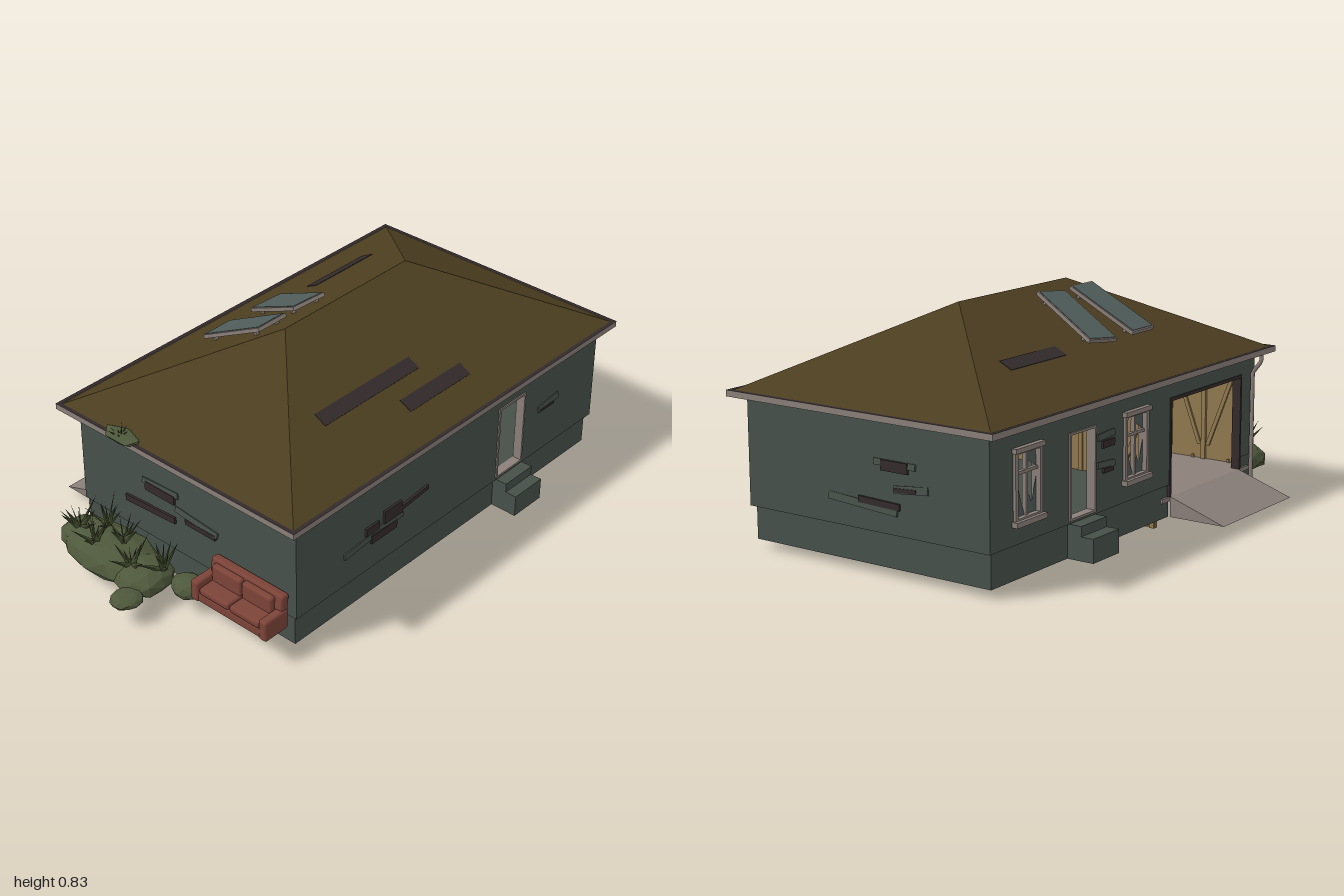
import * as THREE from 'three';
import { RoundedBoxGeometry } from 'three/addons/geometries/RoundedBoxGeometry.js';

const mat = (name, color, side = THREE.FrontSide) => {
  const m = new THREE.MeshStandardMaterial({ color, side });
  m.name = name;
  return m;
};

export function createModel() {
  const house = new THREE.Group();
  house.name = 'house';
  const M = {
    wall: mat('weathered green siding', 0x465049),
    roof: mat('olive brown roof', 0x4c3e20),
    trim: mat('grey trim', 0x8a7f79),
    wood: mat('bare wood', 0x92794f),
    dark: mat('dark timber', 0x342b2b),
    sofa: mat('faded red', 0x7c4338),
    leaf: mat('foliage', 0x465031, THREE.DoubleSide),
    rock: mat('mossy stone', 0x4e583b),
    glass: mat('dusty glass', 0x505d5a, THREE.DoubleSide),
    patch: mat('rotten floor', 0x5a4032),
  };
  let seed = 7;
  const rnd = () => (seed = (seed * 16807) % 2147483647) / 2147483647;
  const add = (geo, m, name, parent = house) => {
    const mesh = new THREE.Mesh(geo, m);
    mesh.name = name;
    parent.add(mesh);
    return mesh;
  };
  // box given by its min and max on each axis
  const box = (name, m, x0, x1, y0, y1, z0, z1, parent) => {
    const b = add(new THREE.BoxGeometry(x1 - x0, y1 - y0, z1 - z0), m, name, parent);
    b.position.set((x0 + x1) / 2, (y0 + y1) / 2, (z0 + z1) / 2);
    return b;
  };
  const poly = (pts) => new THREE.Shape(pts.map((p) => new THREE.Vector2(p[0], p[1])));
  const rect = (x0, x1, y0, y1) => poly([[x0, y0], [x1, y0], [x1, y1], [x0, y1]]);
  const slab = (shape, depth) => new THREE.ExtrudeGeometry(shape, { depth, bevelEnabled: false });

  // Walls with openings; the back wall is notched for the garage
  const wall = (name, z, outline, holes) => {
    outline.holes = holes.map((h) => rect(...h));
    add(slab(outline, 0.025), M.wall, name).position.z = z;
  };
  const door = [0.365, 0.51, 0.165, 0.45];
  const windows = [[0.68, 0.81, 0.23, 0.45], [0.055, 0.185, 0.23, 0.45]];
  wall('frontWall', 0.545, rect(-0.69, 0.94, 0.15, 0.53), [door]);
  wall('backWall', -0.44, poly([[-0.69, 0.15], [-0.585, 0.15], [-0.585, 0.46], [-0.11, 0.46], [-0.11, 0.15],
    [0.94, 0.15], [0.94, 0.53], [-0.69, 0.53]]), [...windows, door]);
  box('leftWall', M.wall, 0.915, 0.94, 0.15, 0.53, -0.415, 0.545);
  box('rightWall', M.wall, -0.69, -0.665, 0.15, 0.53, -0.415, 0.545);
  box('ceiling', M.dark, -0.665, 0.915, 0.518, 0.526, -0.415, 0.545);

  // Hollow foundation, floors, ramp
  const base = 0.032;
  box('frontFoundation', M.wall, -0.68, 0.925, base, 0.15, 0.535, 0.555);
  box('backFoundation', M.wall, -0.11, 0.925, base, 0.15, -0.432, -0.41);
  box('backCornerFoundation', M.wall, -0.68, -0.585, base, 0.15, -0.432, -0.41);
  box('leftFoundation', M.wall, 0.905, 0.925, base, 0.15, -0.41, 0.535);
  box('rightFoundation', M.wall, -0.68, -0.665, base, 0.15, -0.41, 0.535);
  box('mainFloor', M.wall, -0.05, 0.915, 0.125, 0.165, -0.415, 0.545);
  box('garageFloor', M.trim, -0.66, -0.06, 0.09, 0.106, -0.44, 0.535);
  const ramp = add(slab(poly([[0.44, base], [0.66, base], [0.44, 0.106]]), 0.475), M.trim, 'garageRamp');
  ramp.rotation.y = Math.PI / 2;
  ramp.position.x = -0.585;
  const patch = add(slab(poly([[-0.15, -0.1], [0.05, -0.15], [0.16, -0.06], [0.12, 0.03], [0.15, 0.12], [-0.02, 0.15], [-0.14, 0.08]]), 0.004), M.patch, 'rottenFloorPatch');
  patch.rotation.x = Math.PI / 2;
  patch.position.set(0.53, 0.126, 0.01);

  // Timber partition and garage lining
  box('partition', M.wood, -0.06, -0.052, 0, 0.518, -0.415, 0.53);
  box('garageSideLining', M.wood, -0.665, -0.655, base + 0.002, 0.518, -0.41, 0.535);
  box('garageFrontLining', M.wood, -0.655, -0.06, base + 0.002, 0.518, 0.528, 0.535);
  for (const [x, y0] of [[-0.063, 0], [-0.65, base + 0.002], [-0.05, 0]]) {
    [-0.405, -0.25, -0.1, 0.065, 0.21, 0.38, 0.52].forEach((z, i) => {
      box('stud', M.wood, x - 0.005, x + 0.005, y0, 0.518, z - 0.009, z + 0.009);
      if (i < 6) {
        const brace = box('brace', M.wood, x - 0.004, x + 0.004, 0.15, 0.49, z + 0.07, z + 0.085);
        brace.rotation.x = i % 2 ? 0.36 : -0.36;
        const strut = box('lowerStrut', M.wood, x - 0.004, x + 0.004, y0 + 0.003, 0.12, z + 0.03, z + 0.04);
        strut.rotation.x = 0.35;
      }
    });
    box('topPlate', M.wood, x - 0.005, x + 0.005, 0.5, 0.518, -0.41, 0.53);
  }
  for (let x = -0.55; x < -0.1; x += 0.14) box('frontStud', M.wood, x, x + 0.016, 0.106, 0.518, 0.515, 0.53);

  // Steps at both doors
  for (const s of [1, -1]) {
    const x = s > 0 ? 0.37 : 0.36, z = s > 0 ? 0.55 : -0.43, c = (a) => [Math.min(z, a), Math.max(z, a)];
    box('lowerStep', M.wall, x, x + 0.15, base, 0.115, ...c(s > 0 ? 0.66 : -0.535));
    box('upperStep', M.wall, x, x + 0.15, 0.1, 0.15, ...c(s > 0 ? 0.615 : -0.487));
  }

  // Frame around an opening
  const frame = (name, x0, x1, y0, y1, z, w) => {
    const s = rect(x0 - w, x1 + w, y0 - w, y1 + w);
    s.holes.push(rect(x0, x1, y0, y1));
    add(slab(s, 0.035), M.trim, name).position.z = z;
  };
  frame('frontDoorFrame', 0.37, 0.505, 0.167, 0.447, 0.54, 0.008);
  frame('backDoorFrame', 0.37, 0.505, 0.167, 0.447, -0.446, 0.008);
  for (const x of [-0.593, -0.111]) box('garageDoorJamb', M.dark, x, x + 0.009, 0.106, 0.46, -0.444, -0.41);
  box('garageDoorHead', M.dark, -0.593, -0.102, 0.45, 0.462, -0.444, -0.41);

  // Broken sash windows
  for (const [x0, x1, y0, y1] of windows) {
    const xc = (x0 + x1) / 2;
    frame('windowFrame', x0 + 0.006, x1 - 0.006, y0 + 0.006, y1 - 0.006, -0.45, 0.014);
    box('windowSill', M.trim, x0 - 0.016, x1 + 0.016, y0 - 0.018, y0, -0.463, -0.435);
    box('windowHead', M.trim, x0 - 0.014, x1 + 0.014, y1, y1 + 0.016, -0.458, -0.435);
    box('mullion', M.trim, xc - 0.005, xc + 0.005, y0, y1, -0.44, -0.425);
    box('transom', M.trim, x0, x1, y1 - 0.075, y1 - 0.065, -0.44, -0.425);
    const shards = [
      [[x0, y0], [xc, y0], [xc - 0.02, y0 + 0.07], [x0 + 0.03, y0 + 0.04], [x0, y0 + 0.14]],
      [[xc, y0], [x1, y0], [x1, y1 - 0.07], [x1 - 0.03, y0 + 0.1], [xc + 0.02, y0 + 0.05]],
      [[x0, y1], [x0, y1 - 0.07], [xc, y1 - 0.03], [xc, y1]],
    ];
    for (const p of shards) add(new THREE.ShapeGeometry(poly(p)), M.glass, 'glassShard').position.z = -0.432;
  }

  // Hipped roof
  const rx0 = -0.738, rx1 = 0.983, rz0 = -0.48, rz1 = 0.603, e = 0.548, top = 0.827, rz = 0.063;
  const P = [[rx0, e, rz1], [rx1, e, rz1], [rx1, e, rz0], [rx0, e, rz0], [-0.19, top, rz], [0.44, top, rz]];
  const faces = [[0, 1, 5], [0, 5, 4], [1, 2, 5], [2, 3, 4], [2, 4, 5], [3, 0, 4]];
  const rg = new THREE.BufferGeometry();
  rg.setAttribute('position', new THREE.Float32BufferAttribute(faces.flat().flatMap((i) => P[i]), 3));
  rg.computeVertexNormals();
  add(rg, M.roof, 'hippedRoof');
  box('soffit', M.trim, -0.74, 0.98, 0.527, 0.546, -0.48, 0.6);

  // Gutters, dark on top
  const gutter = [M.trim, M.trim, M.dark, M.trim, M.trim, M.trim];
  box('frontGutter', gutter, -0.75, 0.993, 0.53, 0.552, 0.6, 0.615);
  box('backGutter', gutter, -0.75, 0.993, 0.53, 0.552, -0.493, -0.478);
  box('leftGutter', gutter, 0.978, 0.993, 0.53, 0.552, -0.478, 0.6);
  box('rightGutter', gutter, -0.75, -0.735, 0.53, 0.552, -0.478, 0.6);

  // Things lying on a roof slope: group origin on the surface, local y is the normal
  const onRoof = (name, x, z) => {
    const g = new THREE.Group(), front = z > rz;
    const k = (top - e) / (front ? rz1 - rz : rz - rz0);
    g.name = name;
    g.position.set(x, top - k * Math.abs(z - rz), z);
    g.rotation.x = (front ? 1 : -1) * Math.atan(k);
    house.add(g);
    return g;
  };
  for (const [x0, x1, z0, z1] of [[-0.35, 0.13, 0.341, 0.389], [-0.035, 0.285, 0.444, 0.492], [0.285, 0.595, -0.27, -0.222]]) {
    const g = onRoof('roofHole', (x0 + x1) / 2, (z0 + z1) / 2), w = (x1 - x0) / 2, d = (z1 - z0) * 0.56;
    box('holeDark', M.dark, -w, w, -0.003, 0.002, -d, d, g);
  }
  for (const [x, spin] of [[-0.168, 0], [0.05, -0.2]]) {
    const g = onRoof('solarPanel', x, -0.14), tilt = new THREE.Group();
    tilt.rotation.y = spin;
    g.add(tilt);
    box('panelFrame', M.trim, -0.068, 0.068, 0.014, 0.028, -0.15, 0.15, tilt);
    box('panelGlass', M.glass, -0.062, 0.062, 0.028, 0.03, -0.144, 0.144, tilt);
    for (const sx of [-0.05, 0.05]) for (const sz of [-0.11, 0.11])
      box('panelLeg', M.trim, sx - 0.006, sx + 0.006, -0.01, 0.016, sz - 0.006, sz + 0.006, tilt);
  }

  // Downspout by the garage
  const path = new THREE.CurvePath();
  const bends = [[0.535, -0.485], [0.505, -0.485], [0.46, -0.45], [0.04, -0.45]].map(([y, z]) => new THREE.Vector3(-0.66, y, z));
  for (let i = 0; i < 3; i++) path.add(new THREE.LineCurve3(bends[i], bends[i + 1]));
  add(new THREE.TubeGeometry(path, 40, 0.008, 8), M.trim, 'downspout');

  // Broken siding: [along, height, width, tall, roll, gap?] on each wall
  const damage = (name, x, z, turn, list) => {
    const g = new THREE.Group();
    g.name = name;
    g.position.set(x, 0, z);
    g.rotation.y = turn;
    house.add(g);
    for (const [u, v, w, h, roll, gap] of list) {
      const b = box(gap ? 'sidingGap' : 'loosePlank', gap ? M.dark : M.wall, u - w / 2, u + w / 2, v - h / 2, v + h / 2, -0.001, gap ? 0.0085 : 0.006, g);
      b.rotation.z = roll;
      if (!gap) b.rotation.x = -0.15;
    }
  };
  damage('frontDamage', 0, 0.57, 0, [[-0.32, 0.315, 0.065, 0.032, 0, 1], [-0.215, 0.328, 0.09, 0.05, 0, 1], [-0.1, 0.328, 0.14, 0.016, 0.1, 1],
    [-0.26, 0.272, 0.13, 0.032, 0, 1], [-0.39, 0.278, 0.14, 0.02, 0.08], [-0.25, 0.296, 0.18, 0.016, -0.05], [0.655, 0.345, 0.12, 0.024, 0.1], [0.645, 0.333, 0.08, 0.01, 0, 1]]);
  damage('leftDamage', 0.94, 0, Math.PI / 2, [[0.065, 0.386, 0.17, 0.022, 0], [0.065, 0.378, 0.11, 0.036, 0, 1], [0.13, 0.31, 0.14, 0.026, 0.1],
    [0.11, 0.305, 0.09, 0.014, 0.05, 1], [-0.07, 0.236, 0.29, 0.026, -0.06], [0.0, 0.249, 0.17, 0.022, -0.03, 1]]);
  damage('rightDamage', -0.69, 0, -Math.PI / 2, [[-0.05, 0.38, 0.17, 0.022, 0.05], [-0.05, 0.36, 0.14, 0.035, 0, 1], [0.12, 0.32, 0.2, 0.022, -0.08],
    [0.14, 0.3, 0.14, 0.02, 0, 1], [-0.1, 0.27, 0.24, 0.025, 0.06, 1]]);
  damage('backDamage', 0, -0.44, Math.PI, [[-0.3, 0.41, 0.1, 0.022, 0.05], [-0.29, 0.38, 0.07, 0.025, 0, 1], [-0.3, 0.31, 0.1, 0.022, -0.06], [-0.29, 0.29, 0.06, 0.016, 0, 1]]);

  // Discarded sofa beside the right wall, facing outward
  const sofa = new THREE.Group();
  sofa.name = 'sofa';
  house.add(sofa);
  const soft = (name, x0, x1, y0, y1, z0, z1) => {
    const m = add(new RoundedBoxGeometry(x1 - x0, y1 - y0, z1 - z0, 2, 0.01), M.sofa, name, sofa);
    m.position.set((x0 + x1) / 2, (y0 + y1) / 2, (z0 + z1) / 2);
    return m;
  };
  soft('sofaBase', -0.81, -0.7, 0.115, 0.155, 0.22, 0.545);
  soft('sofaBack', -0.735, -0.7, 0.12, 0.25, 0.22, 0.545).rotation.z = -0.1;
  for (const z of [0.205, 0.515]) soft('sofaArm', -0.815, -0.705, 0.115, 0.195, z, z + 0.035);
  for (const z of [0.242, 0.38]) {
    soft('seatCushion', -0.812, -0.73, 0.15, 0.178, z, z + 0.134);
    soft('backCushion', -0.752, -0.725, 0.17, 0.24, z, z + 0.134);
  }

  // Faceted mossy stones with flat undersides: [x, y, z, rx, ry, rz]
  for (const [x, y, z, a, b, c] of [[-0.8, 0.09, -0.2, 0.12, 0.08, 0.22], [-0.79, 0.09, -0.32, 0.09, 0.07, 0.11], [-0.81, 0.09, -0.02, 0.11, 0.06, 0.1],
    [-0.94, 0.09, 0.025, 0.06, 0.025, 0.055], [-0.76, 0.1, 0.14, 0.055, 0.04, 0.065]]) {
    const g = new THREE.IcosahedronGeometry(1, 1), p = g.attributes.position, v = new THREE.Vector3();
    for (let i = 0; i < p.count; i++) {
      v.fromBufferAttribute(p, i);
      const k = 1 + 0.06 * Math.sin(v.x * 4 + x * 30) * Math.cos(v.z * 3 + z * 20);
      p.setXYZ(i, v.x * a * k, Math.max(v.y * b * k, 0.068 - y), v.z * c * k);
    }
    g.computeVertexNormals();
    add(g, M.rock, 'stone').position.set(x, y, z);
  }

  // Tufts of pointed blades
  const tuft = (x, y, z, n, size) => {
    const g = new THREE.Group();
    g.name = 'plantTuft';
    g.position.set(x, y, z);
    house.add(g);
    for (let i = 0; i < n; i++) {
      const len = size * (0.7 + 0.5 * rnd());
      const blade = add(new THREE.ConeGeometry(len * 0.1, len, 4).translate(0, len / 2, 0).scale(1, 1, 0.4), M.leaf, 'blade', g);
      blade.rotation.set(0, (i / n) * Math.PI * 2 + rnd(), -(0.15 + 0.85 * rnd()), 'YXZ');
    }
  };
  for (const [x, y, z] of [[-0.82, 0.14, -0.33], [-0.85, 0.15, -0.22], [-0.79, 0.165, -0.14], [-0.84, 0.13, -0.05], [-0.76, 0.16, -0.25], [-0.78, 0.13, 0.04]])
    tuft(x, y, z, 9, 0.11);
  const clump = add(new THREE.IcosahedronGeometry(1, 0), M.rock, 'gutterClump');
  clump.scale.set(0.042, 0.024, 0.09);
  clump.position.set(-0.73, 0.55, -0.18);
  tuft(-0.74, 0.55, -0.18, 8, 0.055);
  return house;
}
